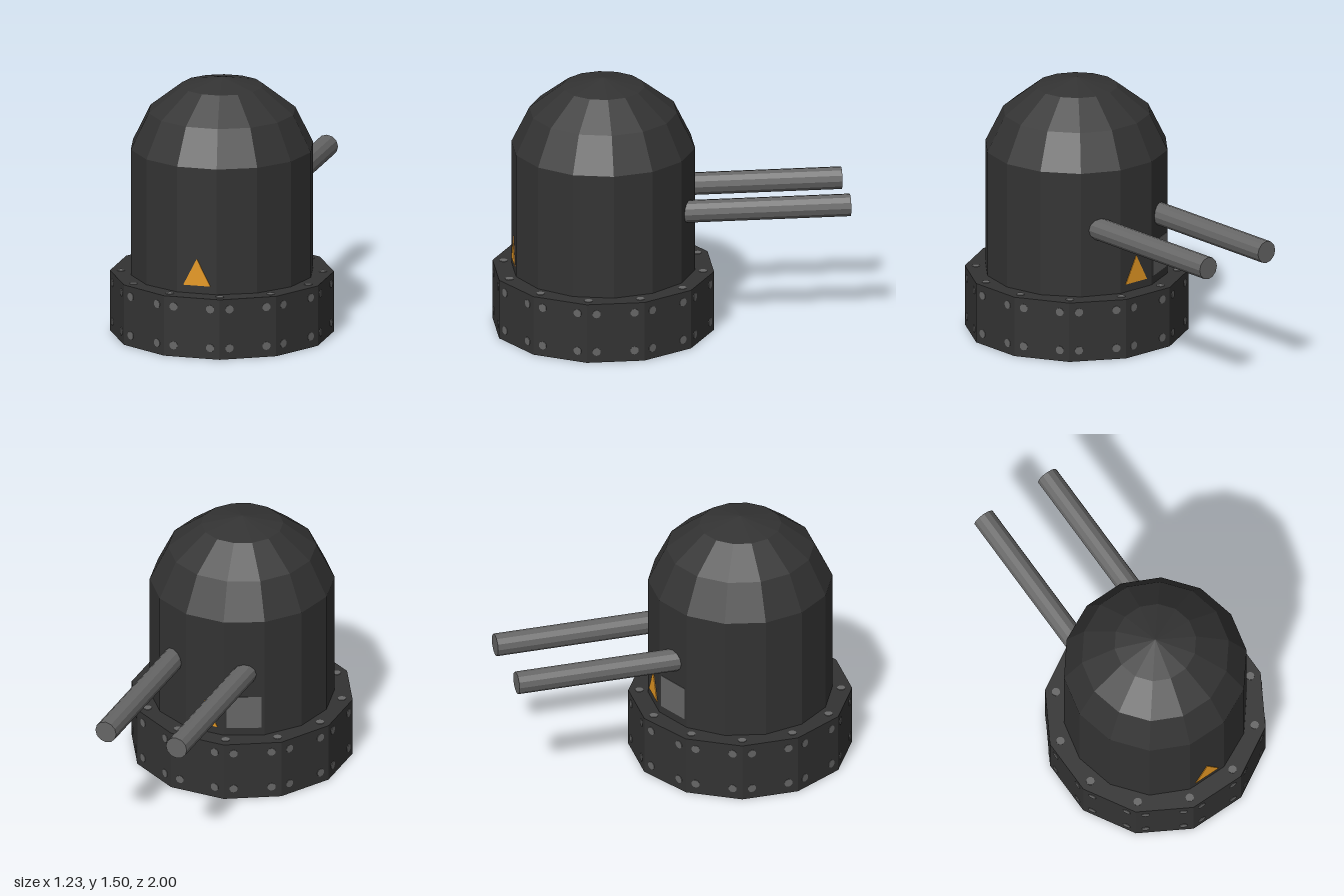
import * as THREE from 'three';

const makeMaterial = (name, color) => {
  const material = new THREE.MeshStandardMaterial({ color, flatShading: true });
  material.name = name;
  return material;
};

export function createModel() {
  const darkMetal = makeMaterial('darkMetal', 0x333333);
  const steel = makeMaterial('steel', 0x666666);
  const amber = makeMaterial('amber', 0xe89a24);

  const model = new THREE.Group();
  model.name = 'gunTurret';
  const turret = new THREE.Group();
  turret.name = 'turret';
  turret.position.z = 0.385;
  model.add(turret);

  const add = (parent, name, geometry, material) => {
    const mesh = new THREE.Mesh(geometry, material);
    mesh.name = name;
    parent.add(mesh);
    return mesh;
  };

  // Twelve-sided base with a flat face to the front
  const apothem = 0.614;
  const baseHeight = 0.352;
  const baseRadius = apothem / Math.cos(Math.PI / 12);
  const baseGeometry = new THREE.CylinderGeometry(baseRadius, baseRadius, baseHeight, 12, 1, false, Math.PI / 12);
  add(turret, 'base', baseGeometry, darkMetal).position.y = baseHeight / 2;

  // Fourteen-sided body closed by a faceted dome
  const profile = [[0.525, 0.34], [0.525, 1.088], [0.422, 1.298], [0.234, 1.445], [0, 1.495]]
    .map(([r, y]) => new THREE.Vector2(r, y));
  add(turret, 'domedBody', new THREE.LatheGeometry(profile, 14, Math.PI / 2), darkMetal);

  // Flat rivets: four on each side face, one at each corner of the rim
  const topRivet = new THREE.CylinderGeometry(0.024, 0.024, 0.006, 10);
  const sideRivet = topRivet.clone().rotateX(Math.PI / 2);
  for (let i = 0; i < 12; i++) {
    const face = new THREE.Group();
    face.name = 'rivetSet';
    face.rotation.y = i * Math.PI / 6;
    turret.add(face);
    for (const x of [-0.108, 0.108]) {
      for (const y of [0.065, 0.293]) {
        add(face, 'sideRivet', sideRivet, steel).position.set(x, y, apothem);
      }
    }
    const corner = Math.PI / 12;
    add(face, 'rimRivet', topRivet, steel)
      .position.set(0.573 * Math.sin(corner), baseHeight, 0.573 * Math.cos(corner));
  }

  // Thin plates lying on the facets of the body
  const facet = 0.525 * Math.cos(Math.PI / 14);
  const addPlate = (name, geometry, material, angle) => {
    const mount = new THREE.Group();
    mount.name = name + 'Mount';
    mount.rotation.y = angle;
    turret.add(mount);
    add(mount, name, geometry, material).position.z = facet - 0.001;
  };
  const triangle = new THREE.Shape([[-0.08, 0.398], [0.08, 0.398], [0, 0.555]]
    .map(([x, y]) => new THREE.Vector2(x, y)));
  const triangleGeometry = new THREE.ExtrudeGeometry(triangle, { depth: 0.005, bevelEnabled: false });
  addPlate('frontWarningTriangle', triangleGeometry, amber, 0);
  addPlate('backWarningTriangle', triangleGeometry, amber, Math.PI);
  const panelGeometry = new THREE.BoxGeometry(0.2, 0.2, 0.008).translate(0, 0.5, 0);
  addPlate('backPanel', panelGeometry, steel, Math.PI + Math.PI / 7);

  // Twin barrels pointing backwards
  const barrelGeometry = new THREE.CylinderGeometry(0.065, 0.065, 1.05, 12).rotateX(Math.PI / 2);
  for (const side of [-1, 1]) {
    add(model, side > 0 ? 'leftBarrel' : 'rightBarrel', barrelGeometry, steel)
      .position.set(side * 0.22, 0.745, -0.475);
  }

  return model;
}
